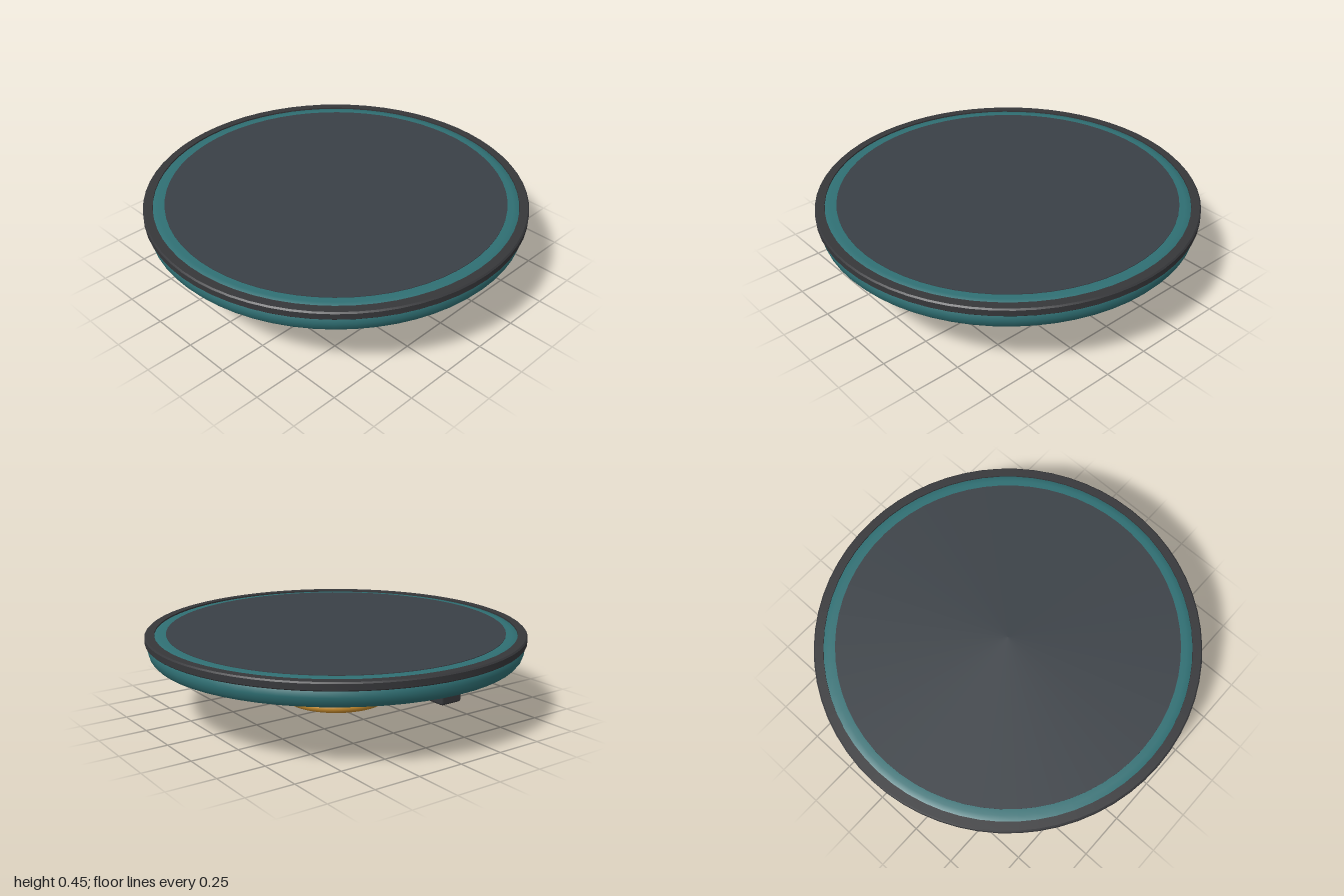
import * as THREE from 'three';
import { RoundedBoxGeometry } from 'three/addons/geometries/RoundedBoxGeometry.js';
import { toCreasedNormals } from 'three/addons/utils/BufferGeometryUtils.js';

const SEGMENTS = 64;

function material(name, color) {
  const m = new THREE.MeshStandardMaterial({ color });
  m.name = name;
  return m;
}

// Lathe from [radius, y] pairs running bottom to top, with sharp edges kept.
function turned(profile) {
  const points = profile.map(([r, y]) => new THREE.Vector2(r, y));
  return toCreasedNormals(new THREE.LatheGeometry(points, SEGMENTS), 0.6);
}

export function createModel() {
  const model = new THREE.Group();
  model.name = 'hatch';

  const teal = material('teal paint', 0x2f6f73);
  const rubber = material('black rubber', 0x36373a);
  const slate = material('dark slate', 0x3a4046);
  const brass = material('brass', 0xc98d2e);
  const steel = material('steel', 0x85898d);

  function add(name, geometry, mat, parent = model) {
    const mesh = new THREE.Mesh(geometry, mat);
    mesh.name = name;
    parent.add(mesh);
    return mesh;
  }

  // Round cover with a rolled lower edge and a shallow crown
  add('cover', turned([
    [0, 0.318], [0.94, 0.318], [0.965, 0.326], [0.98, 0.345], [0.988, 0.375],
    [0.985, 0.4], [0.97, 0.425], [0.95, 0.442], [0.92, 0.446], [0.89, 0.447], [0, 0.447],
  ]), teal);

  // Sealing ring around the rim
  add('gasket', turned([
    [0.95, 0.408], [0.995, 0.408], [1, 0.413], [1, 0.443], [0.993, 0.45], [0.95, 0.45], [0.95, 0.408],
  ]), rubber);

  // Dark panel on top
  const panel = add('topPanel', new THREE.CylinderGeometry(0.89, 0.89, 0.006, SEGMENTS), slate);
  panel.position.y = 0.447;

  // Stepped plate underneath
  add('lowerPlate', turned([
    [0, 0.28], [0.825, 0.28], [0.835, 0.285], [0.84, 0.295], [0.84, 0.325],
  ]), teal);

  // Eight radial stiffeners, built as four full-width bars
  const ribs = new THREE.Group();
  ribs.name = 'ribs';
  for (let i = 0; i < 4; i++) {
    const rib = add('rib', new RoundedBoxGeometry(1.2, 0.06, 0.08, 1, 0.006), teal, ribs);
    rib.position.y = 0.26;
    rib.rotation.y = i * Math.PI / 4;
  }
  model.add(ribs);

  // Central shaft and its end pin
  const shaft = add('shaft', new THREE.CylinderGeometry(0.056, 0.056, 0.19, 24), steel);
  shaft.position.y = 0.195;
  const pin = add('shaftPin', new THREE.CylinderGeometry(0.025, 0.025, 0.1, 16), steel);
  pin.position.y = 0.05;

  // Handwheel: rim, hub and four diagonal spokes
  const wheel = new THREE.Group();
  wheel.name = 'handwheel';
  wheel.position.y = 0.084;
  const rim = add('wheelRim', new THREE.TorusGeometry(0.262, 0.028, 12, 48), brass, wheel);
  rim.rotation.x = Math.PI / 2;
  const hub = add('wheelHub', new THREE.CylinderGeometry(0.055, 0.055, 0.08, 24), brass, wheel);
  hub.position.y = 0;
  for (const side of [-1, 1]) {
    const spoke = add('spokePair', new THREE.CylinderGeometry(0.014, 0.014, 0.51, 10), brass, wheel);
    spoke.rotation.set(Math.PI / 2, 0, side * Math.PI / 4);
  }
  model.add(wheel);

  // Hinge block under the rim
  const block = add('hingeBlock', new RoundedBoxGeometry(0.15, 0.06, 0.12, 2, 0.012), rubber);
  block.position.set(-0.845, 0.3, 0);

  return model;
}
